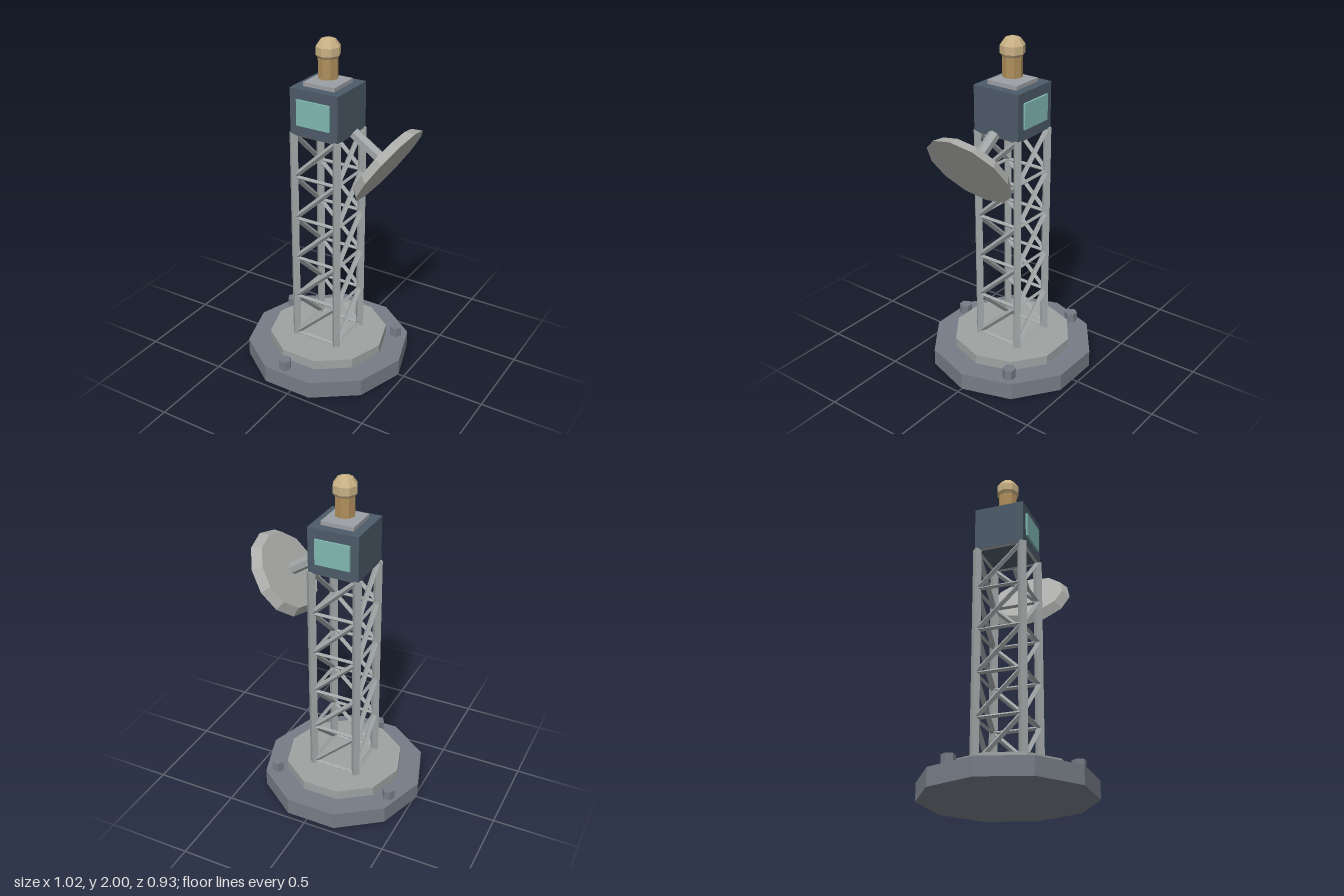
import * as THREE from 'three';

const mat = (color) => new THREE.MeshStandardMaterial({ color, flatShading: true });

export function createModel() {
  const root = new THREE.Group();
  const tower = new THREE.Group();
  tower.name = 'tower';
  tower.position.x = -0.025;
  root.add(tower);

  const slate = mat(0x767c86), stone = mat(0x9ea3a2), steel = mat(0xa0a5a6);
  const navy = mat(0x4c5a68), teal = mat(0x80b8b2), plate = mat(0x9c9fa4);
  const bronze = mat(0xb08f5c), gold = mat(0xc8b084), dishGrey = mat(0xacacaa);

  const add = (name, geometry, material, x, y, z, parent = tower) => {
    const mesh = new THREE.Mesh(geometry, material);
    mesh.name = name;
    mesh.position.set(x, y, z);
    parent.add(mesh);
    return mesh;
  };

  // Prism running from point a to point b
  const up = new THREE.Vector3(0, 1, 0);
  const strut = (name, a, b, r0, r1, sides, material, parent = tower, turn = 0) => {
    const d = b.clone().sub(a);
    const geometry = new THREE.CylinderGeometry(r1, r0, d.length(), sides).rotateY(turn);
    const mid = a.clone().add(b).multiplyScalar(0.5);
    const mesh = add(name, geometry, material, mid.x, mid.y, mid.z, parent);
    mesh.quaternion.setFromUnitVectors(up, d.normalize());
    return mesh;
  };
  const V = (x, y, z) => new THREE.Vector3(x, y, z);

  // Two-step ten-sided base
  const disc = (r, h) => new THREE.CylinderGeometry(r, r, h, 10).rotateY(Math.PI / 2);
  add('basePlinth', disc(0.49, 0.104), slate, 0, 0.052, 0);
  add('baseStep', disc(0.355, 0.06), stone, 0, 0.132, 0);

  // Hexagonal bolts on the plinth
  for (const [x, z] of [[-0.375, -0.18], [-0.048, 0.41], [0.342, -0.234]]) {
    add('baseBolt', new THREE.CylinderGeometry(0.039, 0.039, 0.065, 6).rotateY(Math.PI / 2), slate, x, 0.13, z);
  }

  // Lattice: the same leg, rails and diagonals on each of four sides
  const c = 0.138, y0 = 0.17, bay = 0.26, bays = 5;
  for (let side = 0; side < 4; side++) {
    const face = new THREE.Group();
    face.name = 'latticeSide';
    face.rotation.y = side * Math.PI / 2;
    tower.add(face);
    strut('leg', V(c, 0.16, c), V(c, 1.472, c), 0.027, 0.027, 4, steel, face);
    for (let i = 0; i <= bays; i++) {
      const y = y0 + i * bay;
      strut('rail', V(-c, y, c), V(c, y, c), 0.012, 0.012, 4, steel, face);
      if (i < bays) strut('diagonal', V(-c, y, c), V(c, y + bay, c), 0.016, 0.016, 4, steel, face);
    }
  }

  // Cabin with front and back windows and a roof plate
  add('cabin', new THREE.BoxGeometry(0.3, 0.268, 0.3), navy, 0, 1.602, 0);
  for (const s of [1, -1]) {
    add('window', new THREE.BoxGeometry(0.208, 0.148, 0.024), teal, 0, 1.604, s * 0.15);
  }
  add('roofPlate', new THREE.BoxGeometry(0.195, 0.026, 0.195), plate, 0, 1.746, 0);

  // Beacon
  add('beaconPost', new THREE.CylinderGeometry(0.057, 0.057, 0.12, 8), bronze, 0, 1.834, 0);
  add('beaconBall', new THREE.SphereGeometry(0.073, 8, 5), gold, 0, 1.927, 0);

  // Tilted dish on its arm, on the left side
  const dish = new THREE.Group();
  dish.name = 'dishAssembly';
  root.add(dish);
  strut('dishArm', V(0.14, 1.488, 0), V(0.302, 1.381, 0), 0.034, 0.034, 6, steel, dish, Math.PI / 2);
  strut('dish', V(0.317, 1.37, 0), V(0.36, 1.341, 0), 0.228, 0.262, 12, dishGrey, dish);

  return root;
}
